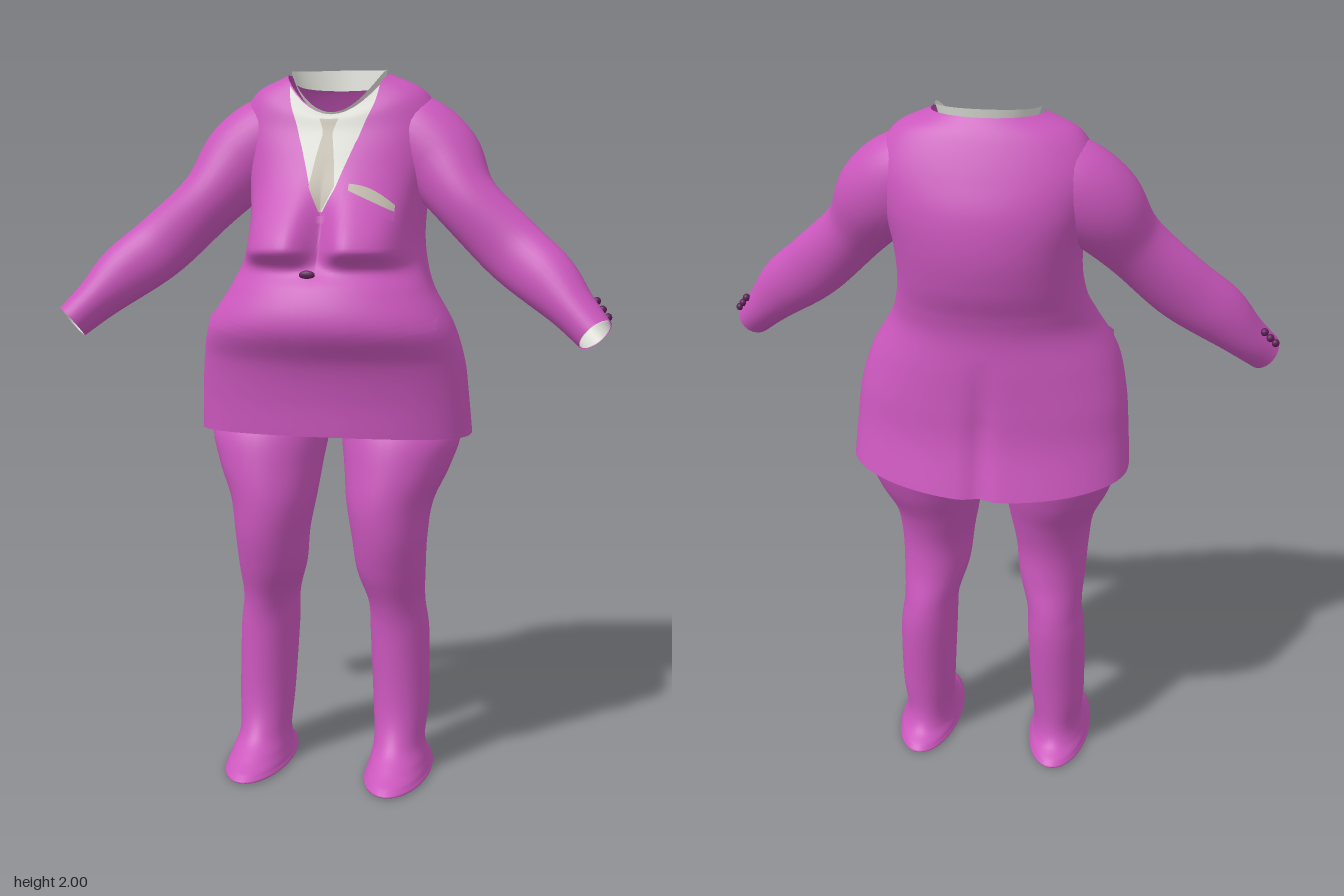
import * as THREE from 'three';

const material = (name, color) => {
  const m = new THREE.MeshStandardMaterial({ color, side: THREE.DoubleSide });
  m.name = name;
  return m;
};

// Smooth interpolation through rows of six numbers; u is the row index
function spline(rows) {
  const curve = k => new THREE.CatmullRomCurve3(
    rows.map(r => new THREE.Vector3(r[k], r[k + 1], r[k + 2])), false, 'catmullrom', 0.5);
  const a = curve(0), b = curve(3), n = rows.length - 1;
  return u => [...a.getPoint(u / n).toArray(), ...b.getPoint(u / n).toArray()];
}

// Grid surface from fn(s, t), s and t in 0..1; wrap closes it in s
function grid(ns, nt, fn, wrap = false) {
  const pos = [], index = [], cols = wrap ? ns : ns + 1;
  for (let j = 0; j <= nt; j++)
    for (let i = 0; i < cols; i++) pos.push(...fn(i / ns, j / nt));
  for (let j = 0; j < nt; j++)
    for (let i = 0; i < ns; i++) {
      const a = j * cols + i, b = j * cols + (i + 1) % cols;
      index.push(a, b, b + cols, a, b + cols, a + cols);
    }
  const g = new THREE.BufferGeometry();
  g.setAttribute('position', new THREE.Float32BufferAttribute(pos, 3));
  g.setIndex(index);
  g.computeVertexNormals();
  return g;
}

// Jacket rings: y at front, side, back; half width; z at front, back
const torsoAt = spline([
  [1.00, 0.99, 0.95, 0.39, 0.185, -0.245],
  [1.10, 1.10, 1.09, 0.382, 0.195, -0.215],
  [1.20, 1.20, 1.20, 0.371, 0.22, -0.21],
  [1.30, 1.30, 1.30, 0.343, 0.272, -0.21],
  [1.40, 1.40, 1.40, 0.285, 0.245, -0.21],
  [1.47, 1.47, 1.47, 0.258, 0.185, -0.225],
  [1.55, 1.55, 1.55, 0.245, 0.155, -0.255],
  [1.65, 1.65, 1.65, 0.25, 0.13, -0.275],
  [1.75, 1.75, 1.75, 0.272, 0.09, -0.27],
  [1.82, 1.85, 1.84, 0.282, 0.055, -0.24],
  [1.86, 1.935, 1.93, 0.24, 0.04, -0.20],
  [1.87, 1.982, 1.98, 0.145, 0.03, -0.168],
]);

// Point on the jacket at ring i and angle a (0 = front)
function torsoPoint(i, a, lift = 0) {
  const [yF, yS, yB, rx, zf, zb] = torsoAt(i);
  const s = Math.sin(a), c = Math.cos(a);
  const x = rx * s, y = yS + ((c > 0 ? yF : yB) - yS) * c * c;
  let z = (zf + zb) / 2 + (zf - zb) / 2 * Math.sign(c) * Math.abs(c) ** 0.8;
  if (c > 0) { // bust
    const dx = (Math.abs(x) - 0.125) / 0.095, dy = (y - 1.51) / (y < 1.51 ? 0.042 : 0.13);
    z += 0.09 * Math.exp(-(dx ** 4) * 0.7 - dy * dy) * Math.min(1, c * 2);
  } else if (y < 1.35) { // back crease
    z += 0.018 * Math.exp(-((x / 0.03) ** 2)) * Math.min(1, (1.35 - y) * 5);
  }
  return [x + lift * s, y, z + lift * c];
}

// Thin piece lying on the jacket front; fn(s, t) gives [x, ring]
const patch = (fn, lift, ns = 12, nt = 40) => grid(ns, nt, (s, t) => {
  const [x, i] = fn(s, t);
  const a = Math.asin(THREE.MathUtils.clamp(x / torsoAt(i)[3], -0.98, 0.98));
  return torsoPoint(i, a, lift);
});

// Linear lookup through [key, value] pairs
function lookup(pairs, k) {
  for (let n = 1; n < pairs.length; n++) {
    const [a, va] = pairs[n - 1], [b, vb] = pairs[n];
    if (k <= b) return va + (vb - va) * (k - a) / (b - a);
  }
  return pairs[pairs.length - 1][1];
}

// Sleeve: centre x, y, z; radius across; radius in z
const sleeveAt = spline([
  [0.13, 1.85, -0.09, 0.09, 0.08, 0],
  [0.20, 1.81, -0.09, 0.122, 0.105, 0],
  [0.285, 1.745, -0.07, 0.12, 0.108, 0],
  [0.37, 1.635, -0.015, 0.09, 0.088, 0],
  [0.50, 1.51, 0.022, 0.09, 0.066, 0],
  [0.60, 1.43, 0.062, 0.083, 0.07, 0],
  [0.675, 1.355, 0.10, 0.062, 0.068, 0],
  [0.735, 1.295, 0.138, 0.052, 0.058, 0],
]);
function sleevePoint(i, a, scale = 1) {
  const v = sleeveAt(i), c = new THREE.Vector3(...v);
  const T = new THREE.Vector3(...sleeveAt(Math.min(7, i + 0.05)))
    .sub(new THREE.Vector3(...sleeveAt(Math.max(0, i - 0.05)))).normalize();
  const U = new THREE.Vector3(0, 0, 1).addScaledVector(T, -T.z).normalize();
  const V = new THREE.Vector3().crossVectors(U, T);
  if (V.y < 0) V.negate();
  return c.addScaledVector(U, Math.cos(a) * v[4] * scale)
    .addScaledVector(V, Math.sin(a) * v[3] * scale).toArray();
}

// Trouser leg: y; centre x; half width; z front; z back
const legAt = spline([
  [1.06, 0.17, 0.14, 0.10, -0.14, 0],
  [0.99, 0.19, 0.168, 0.145, -0.19, 0],
  [0.90, 0.185, 0.15, 0.17, -0.17, 0],
  [0.80, 0.17, 0.122, 0.184, -0.125, 0],
  [0.70, 0.172, 0.106, 0.178, -0.098, 0],
  [0.60, 0.175, 0.097, 0.152, -0.10, 0],
  [0.50, 0.187, 0.08, 0.115, -0.12, 0],
  [0.40, 0.195, 0.084, 0.10, -0.122, 0],
  [0.20, 0.202, 0.08, 0.10, -0.10, 0],
  [0.10, 0.202, 0.072, 0.135, -0.095, 0],
  [0.05, 0.205, 0.08, 0.20, -0.115, 0],
  [0.022, 0.206, 0.088, 0.255, -0.16, 0],
  [0.005, 0.206, 0.086, 0.25, -0.15, 0],
  [0.01, 0.206, 0.002, 0.05, 0.046, 0],
]);

export function createModel() {
  const root = new THREE.Group();
  const suit = material('magenta cloth', 0xcb57bd);
  const shirt = material('off-white shirt', 0xdcdcd6);
  const tieCloth = material('beige silk', 0xbfb8aa);
  const dark = material('dark plum', 0x5e1f58);
  const add = (name, geo, mat, parent = root) => {
    const m = new THREE.Mesh(geo, mat);
    m.name = name;
    parent.add(m);
    return m;
  };
  const TAU = Math.PI * 2;

  // Jacket body, open at neck and hem
  add('jacketBody', grid(112, 110, (s, t) => torsoPoint(t * 11, s * TAU), true), suit);

  // Shirt in the neck opening, with the tie over it
  const opening = i => lookup([[6.6, 0.004], [7.2, 0.034], [8, 0.06], [8.8, 0.082], [10, 0.105], [11, 0.122]], i);
  add('shirtFront', patch((s, t) => {
    const i = 6.6 + 4.4 * t;
    return [(s * 2 - 1) * opening(i), i];
  }, 0.006), shirt);
  add('tie', patch((s, t) => {
    const i = 6.6 + 3.3 * t;
    const w = lookup([[6.6, 0.003], [7.25, 0.034], [8.9, 0.013], [9.1, 0.014], [9.9, 0.026]], i);
    return [(s * 2 - 1) * w - 0.002, i];
  }, 0.011), tieCloth);

  // Shirt collar band standing inside the neck, tallest at the back
  add('shirtCollar', grid(64, 6, (s, t) => {
    const a = s * TAU, c = Math.cos(a);
    const height = 0.038 - 0.02 * c;
    const y = 1.994 - height * (1 - t) + (c > 0 ? -0.118 : 0.006) * c * c;
    return [(0.124 + 0.012 * t) * Math.sin(a), y, -0.066 + (0.088 + 0.009 * t) * c];
  }, true), shirt);

  // Lapels and hip pocket flaps, mirrored
  for (const side of [1, -1]) {
    add(side > 0 ? 'leftLapel' : 'rightLapel', patch((s, t) => {
      const i = 6.5 + 4.4 * t;
      return [side * (opening(i) + s * 0.05 * Math.sin(Math.PI * Math.min(1, t * 0.85 + 0.08))), i];
    }, 0.008), suit);
    add(side > 0 ? 'leftPocketFlap' : 'rightPocketFlap', patch((s, t) =>
      [side * (0.09 + 0.22 * s), 2.6 + 0.4 * s + 0.3 * t], 0.009, 16, 4), suit);
  }

  // Overlapping front edge
  add('frontOverlap', patch((s, t) => [-0.075 + 0.045 * t + 0.05 * s, 6.3 * t], 0.005), suit);

  // Breast pocket with a folded cloth showing along its top
  add('breastPocket', patch((s, t) => [0.06 + 0.13 * s, 6.95 - 0.6 * s + 0.3 * t], 0.012, 12, 4), suit);
  add('pocketSquare', patch((s, t) =>
    [0.07 + 0.115 * s, 7.16 - 0.55 * s + t * (0.17 + 0.13 * Math.sin(s * Math.PI))], 0.017, 16, 4), tieCloth);

  // Jacket button
  const dot = new THREE.SphereGeometry(1, 16, 10);
  const button = add('jacketButton', dot, dark);
  button.position.set(...torsoPoint(4.62, -0.08, 0.009));
  button.scale.set(0.022, 0.012, 0.008);

  // Arms and legs, mirrored
  for (const side of [1, -1]) {
    const arm = new THREE.Group(), leg = new THREE.Group();
    arm.name = side > 0 ? 'leftArm' : 'rightArm';
    leg.name = side > 0 ? 'leftLeg' : 'rightLeg';
    arm.scale.x = leg.scale.x = side;
    root.add(arm, leg);
    add('sleeve', grid(32, 56, (s, t) => sleevePoint(t * 7, s * TAU), true), suit, arm);
    add('shirtCuff', grid(32, 6, (s, t) => sleevePoint(6 + t, s * TAU, 0.93), true), shirt, arm);
    // Three buttons on the upper back of the cuff
    for (let n = 0; n < 3; n++) {
      const b = add('cuffButton', dot, dark, arm);
      b.position.set(...sleevePoint(6.1 + n * 0.3, Math.PI * 0.68, 1.1));
      b.scale.setScalar(0.011);
    }
    add('trouserLeg', grid(40, 91, (s, t) => {
      const [y, cx, rx, zf, zb] = legAt(t * 13), a = s * TAU;
      return [cx + rx * Math.sin(a), Math.max(0, y), (zf + zb) / 2 + (zf - zb) / 2 * Math.cos(a)];
    }, true), suit, leg);
  }

  // Trouser seat joining the legs
  const seat = add('trouserSeat', new THREE.SphereGeometry(1, 32, 20), suit);
  seat.scale.set(0.17, 0.07, 0.13);
  seat.position.set(0, 1.04, -0.01);
  return root;
}
